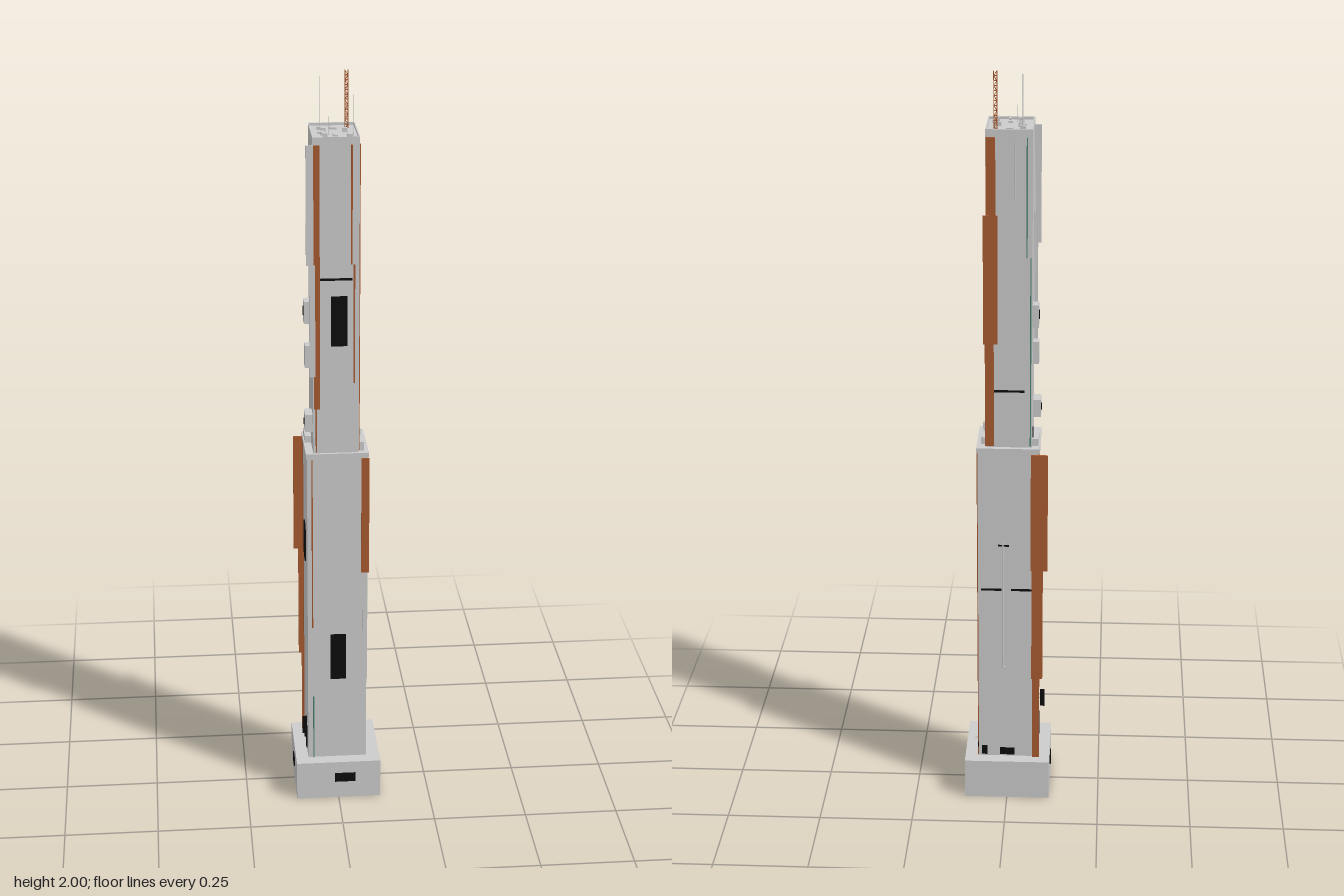
import * as THREE from 'three';

const mat = (color, extra = {}) => new THREE.MeshStandardMaterial({ color, ...extra });

export function createModel() {
  const root = new THREE.Group();
  const grey = mat(0xcccccc);
  const black = mat(0x0c0c0c);
  const rust = mat(0xa85a30);
  const teal = mat(0x4f8878);
  const unit = new THREE.BoxGeometry(1, 1, 1);

  // Box given by its min and max on each axis
  const box = (name, x0, x1, y0, y1, z0, z1, m = grey) => {
    const b = new THREE.Mesh(unit, m);
    b.name = name;
    b.scale.set(x1 - x0, y1 - y0, z1 - z0);
    b.position.set((x0 + x1) / 2, (y0 + y1) / 2, (z0 + z1) / 2);
    root.add(b);
    return b;
  };
  const rod = (name, x, z, y0, y1, r, m = grey, sides = 6) => {
    const c = new THREE.Mesh(new THREE.CylinderGeometry(r, r, y1 - y0, sides), m);
    c.name = name;
    c.position.set(x, (y0 + y1) / 2, z);
    root.add(c);
  };

  // Main masses
  box('plinth', -0.115, 0.115, 0, 0.11, -0.115, 0.115);
  const lower = { x0: -0.081, x1: 0.078, z0: -0.08, z1: 0.08 };
  const upper = { x0: -0.064, x1: 0.055, z0: -0.07, z1: 0.076 };
  box('lowerTower', lower.x0, lower.x1, 0.11, 1.01, lower.z0, lower.z1);
  box('terraceSlab', -0.084, 0.081, 1.003, 1.016, -0.083, 0.083);
  box('upperTower', upper.x0, upper.x1, 1.01, 1.853, upper.z0, upper.z1);

  // Roof parapet
  const { x0, x1, z0, z1 } = upper;
  for (const [a, b, c, d] of [
    [x0, x1, z0, z0 + 0.003], [x0, x1, z1 - 0.003, z1],
    [x0, x0 + 0.003, z0, z1], [x1 - 0.003, x1, z0, z1],
  ]) box('parapet', a, b, 1.85, 1.86, c, d);

  // Panel on a wall: side, horizontal range, height range
  const panel = (name, body, side, a, b, y0, y1, m = black, t = 0.003) => {
    if (side === 'front') box(name, a, b, y0, y1, body.z1 - 0.002, body.z1 + t, m);
    if (side === 'back') box(name, a, b, y0, y1, body.z0 - t, body.z0 + 0.002, m);
    if (side === 'left') box(name, body.x1 - 0.002, body.x1 + t, y0, y1, a, b, m);
    if (side === 'right') box(name, body.x0 - t, body.x0 + 0.002, y0, y1, a, b, m);
  };
  const plinth = { x0: -0.115, x1: 0.115, z0: -0.115, z1: 0.115 };
  for (const p of [
    [plinth, 'front', -0.01, 0.046, 0.05, 0.076],
    [plinth, 'right', -0.015, 0.025, 0.05, 0.076],
    [lower, 'front', -0.02, 0.022, 0.352, 0.487],
    [lower, 'left', -0.03, 0.044, 0.48, 0.677],
    [lower, 'right', -0.02, 0.02, 0.68, 0.785],
    [upper, 'front', -0.018, 0.024, 1.312, 1.446],
    [upper, 'left', -0.016, 0.026, 1.542, 1.64],
  ]) panel('darkScreen', ...p);

  // Doors, hatches and vents
  for (const p of [
    [lower, 'left', -0.078, -0.03, 0.135, 0.15],
    [lower, 'left', -0.077, -0.064, 0.15, 0.178],
    [lower, 'back', -0.02, 0.02, 0.115, 0.135],
    [lower, 'back', 0.055, 0.07, 0.115, 0.14],
    [lower, 'right', -0.06, -0.025, 0.115, 0.135],
    [lower, 'right', 0.03, 0.045, 0.12, 0.185],
    [upper, 'left', 0, 0.013, 1.042, 1.095],
    [upper, 'left', 0.028, 0.036, 1.148, 1.158],
    [upper, 'left', 0.042, 0.05, 1.152, 1.168],
    [upper, 'right', -0.045, -0.03, 1.035, 1.06],
  ]) panel('hatch', ...p);

  // Thin horizontal seams
  for (const p of [
    [upper, 'front', -0.055, 0.037, 1.488, 1.494],
    [upper, 'left', -0.06, 0.065, 1.44, 1.446],
    [upper, 'back', -0.045, 0.04, 1.168, 1.174],
    [lower, 'back', -0.075, -0.01, 0.608, 0.614],
    [lower, 'back', 0.015, 0.07, 0.608, 0.614],
    [lower, 'back', -0.005, 0.025, 0.737, 0.742],
  ]) panel('seam', ...p, black, 0.001);

  // Corner fins, stepping in on the way down
  for (const [a, b, y0, y1, c, d, m] of [
    [-0.107, -0.062, 0.67, 1.0, -0.087, -0.082, rust],
    [-0.095, -0.065, 0.35, 0.67, -0.086, -0.081, rust],
    [-0.087, -0.068, 0.11, 0.35, -0.086, -0.081, rust],
    [0.062, 0.083, 0.67, 1.0, 0.079, 0.084, rust],
    [0.066, 0.079, 0.35, 0.67, 0.079, 0.083, grey],
    [-0.081, -0.062, 1.53, 1.84, 0.075, 0.081, grey],
    [-0.073, -0.058, 1.23, 1.53, 0.075, 0.08, grey],
    [-0.062, -0.046, 1.14, 1.84, 0.075, 0.079, rust],
    [0.033, 0.037, 1.53, 1.84, 0.075, 0.079, rust],
    [0.04, 0.044, 1.21, 1.53, 0.075, 0.079, rust],
    [0.025, 0.062, 1.3, 1.64, -0.075, -0.07, rust],
    [0.035, 0.058, 1.02, 1.3, -0.075, -0.07, rust],
    [0.03, 0.054, 1.64, 1.84, -0.074, -0.07, rust],
  ]) box('fin', a, b, y0, y1, c, d, m);

  // Vertical pipes
  for (const [x, z, y0, y1, m] of [
    [-0.068, 0.082, 0.51, 1.0, rust], [-0.066, 0.082, 0.11, 0.3, teal],
    [-0.082, -0.065, 0.12, 1.0, rust], [0.079, -0.076, 0.11, 1.0, rust],
    [0.079, 0.07, 0.4, 1.0, grey], [0.012, -0.081, 0.38, 0.75, grey],
    [-0.05, -0.071, 1.53, 1.84, teal], [-0.06, -0.071, 1.02, 1.53, teal],
    [0.056, 0.07, 1.02, 1.84, rust], [-0.02, -0.071, 1.68, 1.83, grey],
    [-0.056, 0.077, 1.02, 1.14, rust], [-0.065, 0.068, 1.45, 1.84, grey],
  ]) rod('pipe', x, z, y0, y1, 0.0018, m);
  box('pipeElbow', 0.002, 0.012, 0.378, 0.382, -0.083, -0.08);

  // Balconies and machinery boxes on the right wall
  box('wallUnit', -0.08, -0.062, 1.34, 1.4, -0.055, -0.02);
  box('wallUnitVent', -0.082, -0.079, 1.36, 1.382, -0.045, -0.032, black);
  box('wallUnit', -0.08, -0.062, 1.23, 1.29, -0.02, 0.01);
  box('wallUnit', -0.084, -0.062, 1.07, 1.118, 0.015, 0.06);
  box('wallUnitVent', -0.086, -0.083, 1.085, 1.1, 0.03, 0.044, black);
  box('terraceUnit', -0.081, -0.062, 1.01, 1.035, -0.057, 0);
  box('terraceUnit', 0.055, 0.07, 1.01, 1.035, -0.05, -0.04);
  box('terraceUnit', 0.055, 0.07, 1.01, 1.04, 0.048, 0.066);
  box('hangingSign', -0.097, -0.084, 0.185, 0.236, 0.073, 0.077, black);
  box('signBracket', -0.09, -0.07, 0.208, 0.212, 0.074, 0.076);
  box('lampArm', 0.076, 0.088, 0.16, 0.164, -0.075, -0.072);

  // Rooftop machinery: x, z, width, depth
  [
    [-0.004, -0.035, 0.018, 0.018], [-0.037, -0.027, 0.015, 0.011],
    [-0.031, -0.005, 0.012, 0.012], [-0.037, 0.009, 0.016, 0.016],
    [-0.034, 0.028, 0.01, 0.01], [-0.03, 0.05, 0.012, 0.008],
    [-0.004, 0.038, 0.011, 0.011], [-0.002, 0.057, 0.007, 0.01],
    [0.024, 0, 0.011, 0.009], [0.031, 0.021, 0.01, 0.01],
    [0.035, 0.036, 0.014, 0.018], [0.031, 0.057, 0.013, 0.015],
  ].forEach(([x, z, w, d], i) => box('roofUnit',
    x - w / 2, x + w / 2, 1.85, 1.858 + (i % 3) * 0.003, z - d / 2, z + d / 2));

  // Aerials
  rod('aerial', -0.037, -0.025, 1.85, 1.99, 0.001, grey);
  rod('aerial', -0.02, 0.03, 1.85, 1.9, 0.001, grey);
  rod('aerial', 0.04, 0.052, 1.85, 1.96, 0.001, grey);

  // Lattice mast: four posts, rings and zigzag braces
  const mx = 0.031, mz = -0.04, h = 0.004;
  for (const sx of [-1, 1]) for (const sz of [-1, 1])
    rod('mastPost', mx + sx * h, mz + sz * h, 1.85, 2.0, 0.0009, rust, 4);
  const step = 0.0125;
  for (let i = 0; i < 12; i++) {
    const y = 1.85 + i * step;
    for (const s of [-1, 1]) {
      box('mastRung', mx - h, mx + h, y, y + 0.0012, mz + s * h - 0.0006, mz + s * h + 0.0006, rust);
      box('mastRung', mx + s * h - 0.0006, mx + s * h + 0.0006, y, y + 0.0012, mz - h, mz + h, rust);
      const tilt = (i % 2 ? 1 : -1) * Math.atan2(2 * h, step);
      const len = Math.hypot(2 * h, step) / 2;
      const yc = y + step / 2;
      box('mastBrace', mx - 0.0005, mx + 0.0005, yc - len, yc + len, mz + s * h - 0.0005, mz + s * h + 0.0005, rust).rotation.z = tilt;
      box('mastBrace', mx + s * h - 0.0005, mx + s * h + 0.0005, yc - len, yc + len, mz - 0.0005, mz + 0.0005, rust).rotation.x = tilt;
    }
  }

  return root;
}
